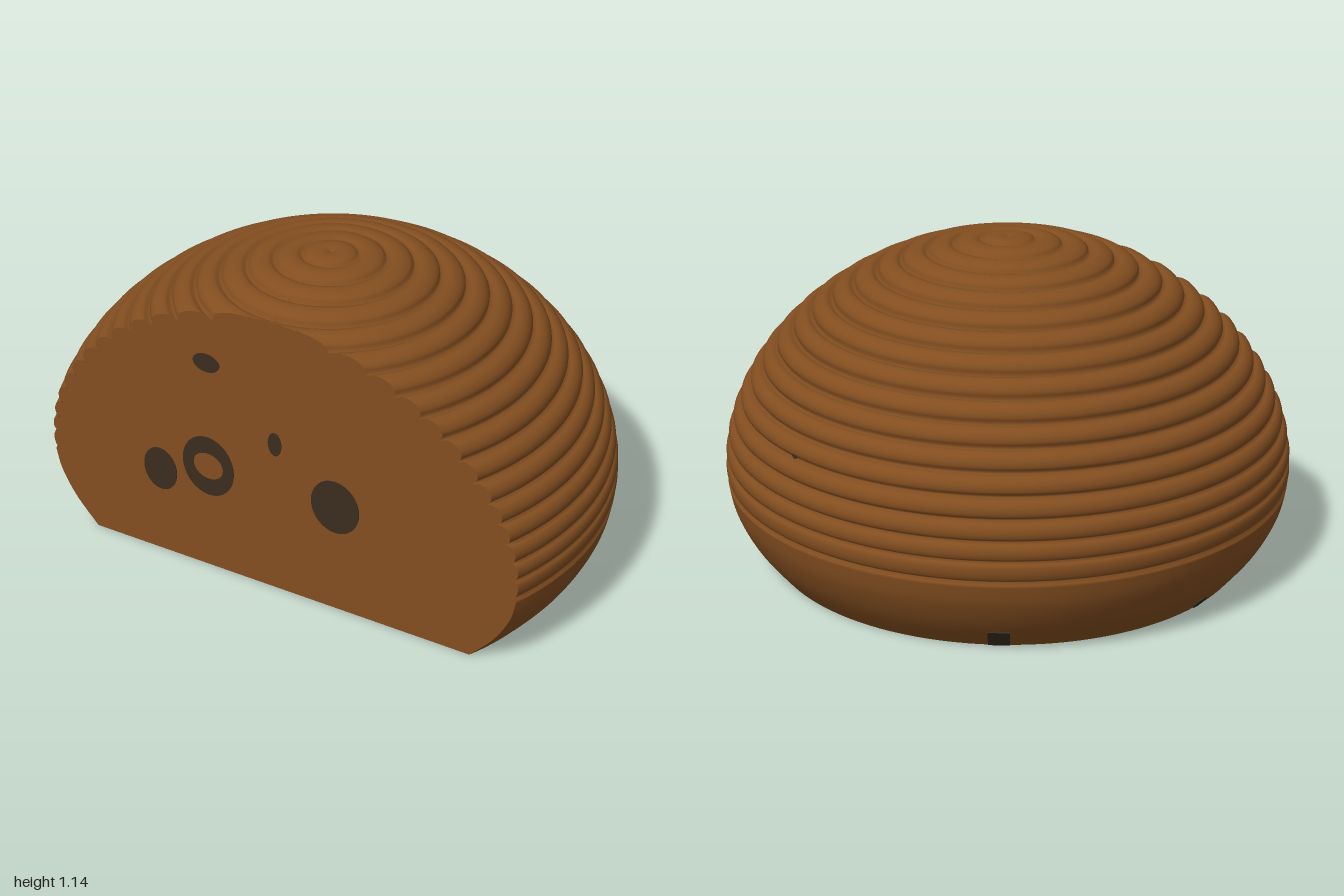
import * as THREE from 'three';

const CUT = 0.397;                          // distance of the flat cut from the axis
const FACING = Math.atan2(-0.918, 0.397);   // direction the cut faces
const BEADS = 17, STEP = 0.0965, PER = 10, SEG = 112;
const POWER = 1.88;                         // slightly leaner than an ellipse

// Half profile from crown to rim: beaded shoulder, then a smooth tucked base
function profile() {
  const pts = [];
  for (let i = 0; i <= BEADS * PER; i++) {
    const phi = (i / PER) * STEP;
    const s = ((i % PER) / PER) * 2 - 1;
    const depth = (0.014 + 0.023 * Math.sin(1.9 * phi)) * (1 - Math.sqrt(1 - s * s));
    const n = new THREE.Vector2(Math.sin(phi), Math.cos(phi) / 0.8).normalize();
    const r = Math.sin(phi);
    const rise = phi < Math.PI / 2
      ? Math.pow(1 - Math.pow(r, POWER), 1 / POWER) : Math.cos(phi);
    pts.push(new THREE.Vector2(
      Math.max(0, r - n.x * depth),
      0.345 + 0.797 * rise - n.y * depth));
  }
  const base = new THREE.SplineCurve([[0.996, 0.283], [0.978, 0.2], [0.928, 0.1], [0.85, 0]]
    .map(([x, y]) => new THREE.Vector2(x, y)));
  return pts.concat(base.getPoints(16));
}

// Rings swept around the axis, each one stopping at the cut plane
function domeGeometry(pts) {
  const pos = [], idx = [], row = SEG + 1;
  pts.forEach((p, i) => {
    const half = Math.PI - Math.acos(p.x > CUT ? CUT / p.x : 1);
    for (let j = 0; j <= SEG; j++) {
      const a = FACING + Math.PI + half * (2 * j / SEG - 1);
      pos.push(p.x * Math.sin(a), p.y, p.x * Math.cos(a));
      if (i && j) {
        const b1 = i * row + j, b0 = b1 - 1, a1 = b1 - row, a0 = a1 - 1;
        idx.push(a0, b0, b1, a0, b1, a1);
      }
    }
  });
  const g = new THREE.BufferGeometry();
  g.setAttribute('position', new THREE.Float32BufferAttribute(pos, 3));
  g.setIndex(idx);
  g.computeVertexNormals();
  return g;
}

// Outline of the cut: the same profile sliced by the plane, mirrored
function cutGeometry(pts) {
  const side = pts.filter((p) => p.x >= CUT)
    .map((p) => new THREE.Vector2(Math.sqrt(p.x * p.x - CUT * CUT), p.y));
  const mirrored = side.map((p) => new THREE.Vector2(-p.x, p.y)).reverse();
  return new THREE.ShapeGeometry(new THREE.Shape(side.concat(mirrored)));
}

// Thin oval plate, optionally with an oval hole
function spotGeometry(w, h, holeW, holeH) {
  const s = new THREE.Shape();
  s.absellipse(0, 0, w, h, 0, Math.PI * 2);
  if (holeW) {
    const hole = new THREE.Path();
    hole.absellipse(0, 0, holeW, holeH, 0, Math.PI * 2, true);
    s.holes.push(hole);
  }
  return new THREE.ExtrudeGeometry(s, { depth: 0.005, bevelEnabled: false, curveSegments: 16 })
    .translate(0, 0, -0.0025);
}

export function createModel() {
  const brown = new THREE.MeshStandardMaterial({ color: 0x834e20, side: THREE.DoubleSide });
  brown.name = 'warm brown';
  const dark = new THREE.MeshStandardMaterial({ color: 0x3b2d20 });
  dark.name = 'dark brown';

  const model = new THREE.Group();
  model.name = 'ribbedDome';
  const body = new THREE.Group();
  body.name = 'body';
  body.position.x = -0.14;
  model.add(body);
  const add = (parent, name, geo, mat) => {
    const m = new THREE.Mesh(geo, mat);
    m.name = name;
    parent.add(m);
    return m;
  };

  const pts = profile();
  add(body, 'ribbedShell', domeGeometry(pts), brown);

  // Flat cut with its spots, which show on both sides
  const cut = new THREE.Group();
  cut.name = 'cutSide';
  cut.rotation.y = FACING;
  cut.position.set(CUT * Math.sin(FACING), 0, CUT * Math.cos(FACING));
  body.add(cut);
  add(cut, 'cutFace', cutGeometry(pts), brown);
  [
    [-0.46, 0.345, 0.068, 0.085],
    [-0.26, 0.42, 0.103, 0.118, 0.06, 0.052],
    [0.24, 0.42, 0.092, 0.103],
    [0.01, 0.595, 0.026, 0.045],
    [-0.25, 0.835, 0.052, 0.035],
  ].forEach(([u, y, ...size]) => {
    add(cut, 'cutSpot', spotGeometry(...size), dark).position.set(u, y, 0);
  });

  // Patches on the shell: azimuth, radius, height, tilt, geometry
  [
    [2.32, 0.887, 0.042, 0.67, new THREE.BoxGeometry(0.072, 0.095, 0.006)],
    [3.18, 0.879, 0.032, 0.67, spotGeometry(0.028, 0.03)],
    [1.04, 0.882, 0.04, 0.67, spotGeometry(0.012, 0.01)],
    [1.51, 0.935, 0.575, 0, spotGeometry(0.013, 0.014)],
  ].forEach(([a, r, y, tilt, geo]) => {
    const m = add(body, 'shellSpot', geo, dark);
    m.rotation.order = 'YXZ';
    m.rotation.set(tilt, a, 0);
    m.position.set(r * Math.sin(a), y, r * Math.cos(a));
  });

  return model;
}
